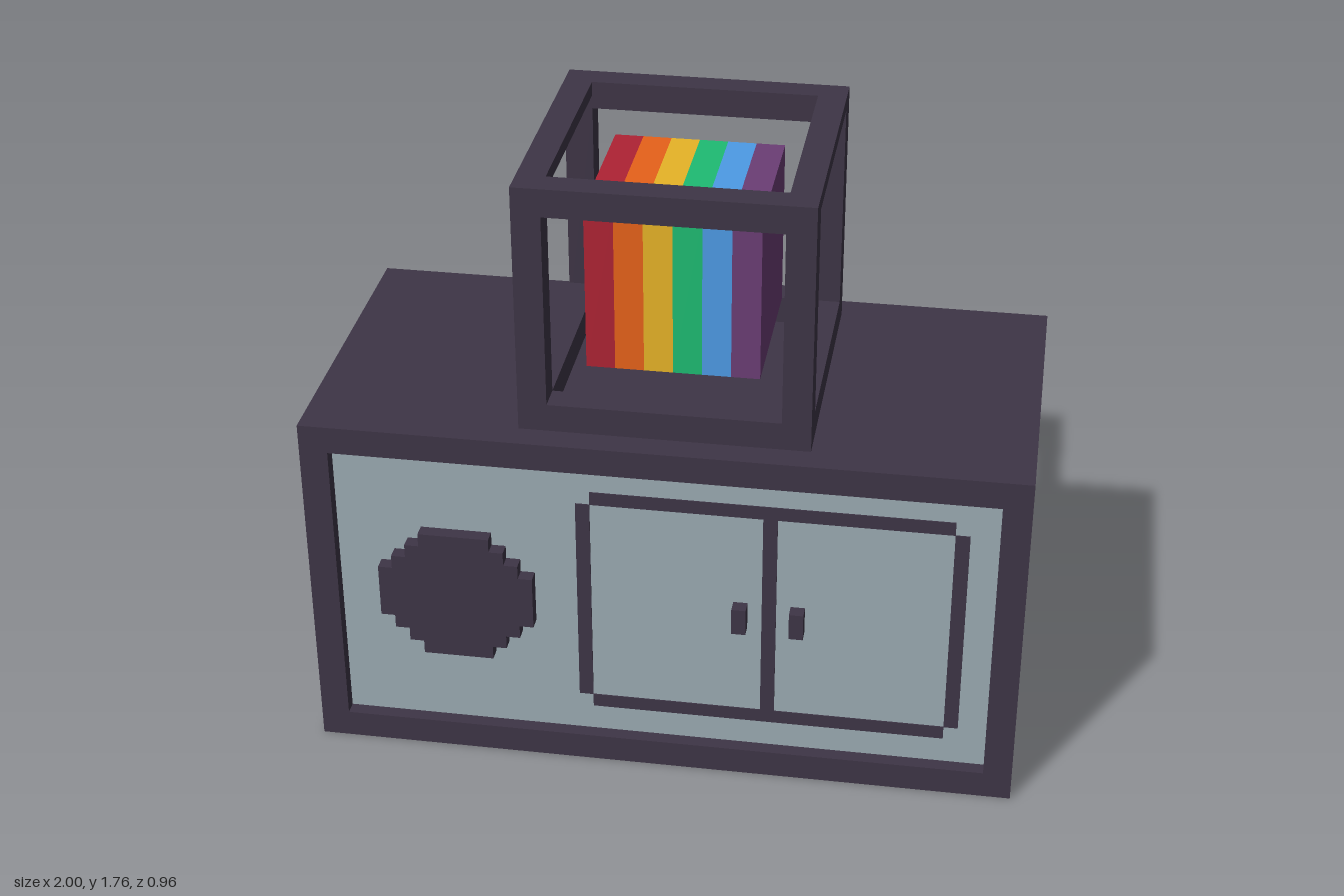
import * as THREE from 'three';

const mat = (name, color) => Object.assign(new THREE.MeshStandardMaterial({ color }), { name });

// Box given by its minimum and maximum corners
function block(parent, name, material, [x0, y0, z0], [x1, y1, z1]) {
  const mesh = new THREE.Mesh(new THREE.BoxGeometry(x1 - x0, y1 - y0, z1 - z0), material);
  mesh.position.set((x0 + x1) / 2, (y0 + y1) / 2, (z0 + z1) / 2);
  mesh.name = name;
  parent.add(mesh);
  return mesh;
}

// Rectangular frame with a window, extruded from z0 to z1
function frame(parent, name, material, halfW, y0, y1, border, z0, z1) {
  const rect = (C, w, a, b) => {
    const p = new C();
    p.moveTo(-w, a).lineTo(w, a).lineTo(w, b).lineTo(-w, b).closePath();
    return p;
  };
  // moveTo and lineTo return the path, so the rectangle can be chained
  const shape = rect(THREE.Shape, halfW, y0, y1);
  shape.holes.push(rect(THREE.Path, halfW - border, y0 + border, y1 - border));
  const geometry = new THREE.ExtrudeGeometry(shape, { depth: z1 - z0, bevelEnabled: false });
  const mesh = new THREE.Mesh(geometry, material);
  mesh.position.z = z0;
  mesh.name = name;
  parent.add(mesh);
  return mesh;
}

function group(parent, name) {
  const g = new THREE.Group();
  g.name = name;
  parent.add(g);
  return g;
}

export function createModel() {
  const model = new THREE.Group();
  model.name = 'cabinetWithStripedCube';

  const dark = mat('charcoal', 0x3e3546);
  const grey = mat('panel grey', 0x9babb2);
  const stripes = [
    mat('red', 0xae2334), mat('orange', 0xfb6b1d), mat('yellow', 0xf9c22b),
    mat('green', 0x1ebc73), mat('blue', 0x4d9be6), mat('purple', 0x6b3e75),
  ];

  // Cabinet body with a raised rim round the recessed front
  const cabinet = group(model, 'cabinet');
  block(cabinet, 'body', dark, [-1, 0, -0.48], [1, 1.04, 0.435]);
  frame(cabinet, 'frontRim', dark, 1, 0, 1.04, 0.08, 0.435, 0.48);
  block(cabinet, 'frontPanel', grey, [-0.92, 0.08, 0.43], [0.92, 0.96, 0.44]);

  // Stepped round speaker, built as stacked rows
  const speaker = group(cabinet, 'speaker');
  const halfWidths = [0.10, 0.14, 0.18, 0.22, 0.18, 0.14, 0.10];
  const rowEdges = [0.32, 0.36, 0.40, 0.44, 0.60, 0.64, 0.68, 0.72];
  halfWidths.forEach((w, i) => block(speaker, 'speakerRow', dark,
    [-0.58 - w, rowEdges[i], 0.44], [-0.58 + w, rowEdges[i + 1], 0.48]));

  // Door outlines, painted on the panel
  const doors = group(cabinet, 'doors');
  for (const x of [-0.24, 0.28, 0.80])
    block(doors, 'doorUpright', dark, [x, 0.20, 0.439], [x + 0.04, 0.84, 0.443]);
  for (const y of [0.16, 0.84])
    block(doors, 'doorRail', dark, [-0.20, y, 0.439], [0.80, y + 0.04, 0.443]);

  // Door handles
  for (const x of [0.20, 0.36])
    block(doors, 'doorHandle', dark, [x, 0.48, 0.44], [x + 0.04, 0.56, 0.48]);

  // Open cage: front and back frames joined by side beams
  const cage = group(model, 'cage');
  frame(cage, 'cageFront', dark, 0.4, 1.04, 1.76, 0.08, 0.32, 0.4);
  frame(cage, 'cageBack', dark, 0.4, 1.04, 1.76, 0.08, -0.4, -0.32);
  for (const x of [-0.4, 0.32]) {
    block(cage, 'cageLowerBeam', dark, [x, 1.04, -0.32], [x + 0.08, 1.12, 0.32]);
    block(cage, 'cageUpperBeam', dark, [x, 1.72, -0.32], [x + 0.08, 1.76, 0.32]);
  }

  // Floating cube of coloured slices
  const cube = group(model, 'stripedCube');
  stripes.forEach((m, i) => {
    const x = -0.24 + i * 0.08;
    block(cube, m.name + 'Slice', m, [x, 1.16, -0.24], [x + 0.08, 1.64, 0.24]);
  });

  return model;
}
